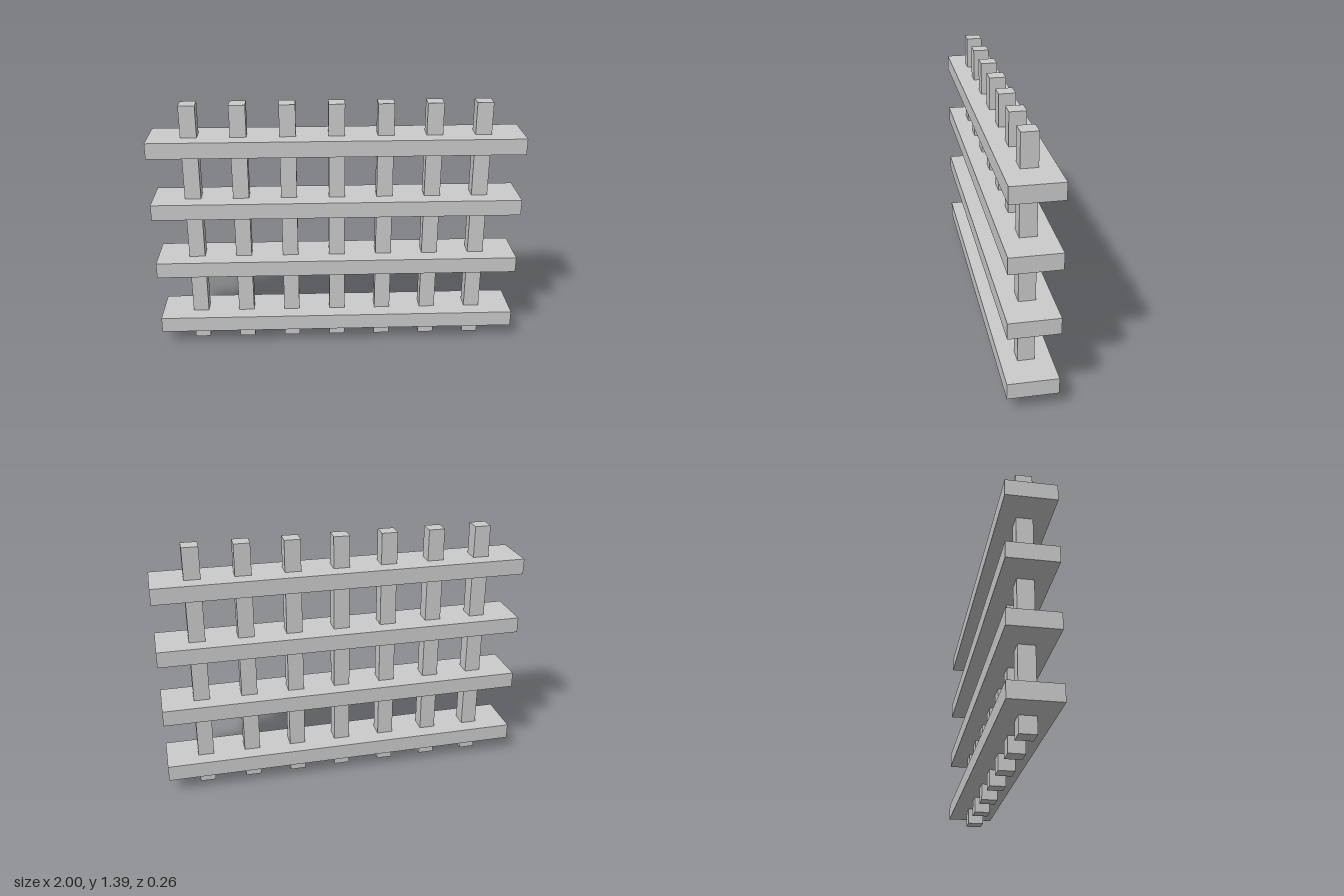
import * as THREE from 'three';

const U = 2 / 23; // bar thickness, the module of the whole grid

export function createModel() {
  const group = new THREE.Group();
  const material = new THREE.MeshStandardMaterial({ color: 0xcccccc, flatShading: true });

  const addBox = (name, size, position) => {
    const mesh = new THREE.Mesh(new THREE.BoxGeometry(...size), material);
    mesh.name = name;
    mesh.position.set(...position);
    group.add(mesh);
  };

  // Seven square upright bars
  for (let i = -3; i <= 3; i++) {
    addBox(`uprightBar${i + 4}`, [U, 16 * U, U], [i * 3 * U, 8 * U, 0]);
  }

  // Four wide flat rails crossing the bars
  for (let i = 0; i < 4; i++) {
    addBox(`crossRail${i + 1}`, [23 * U, U, 3 * U], [0, (1.5 + 4 * i) * U, 0]);
  }

  return group;
}
